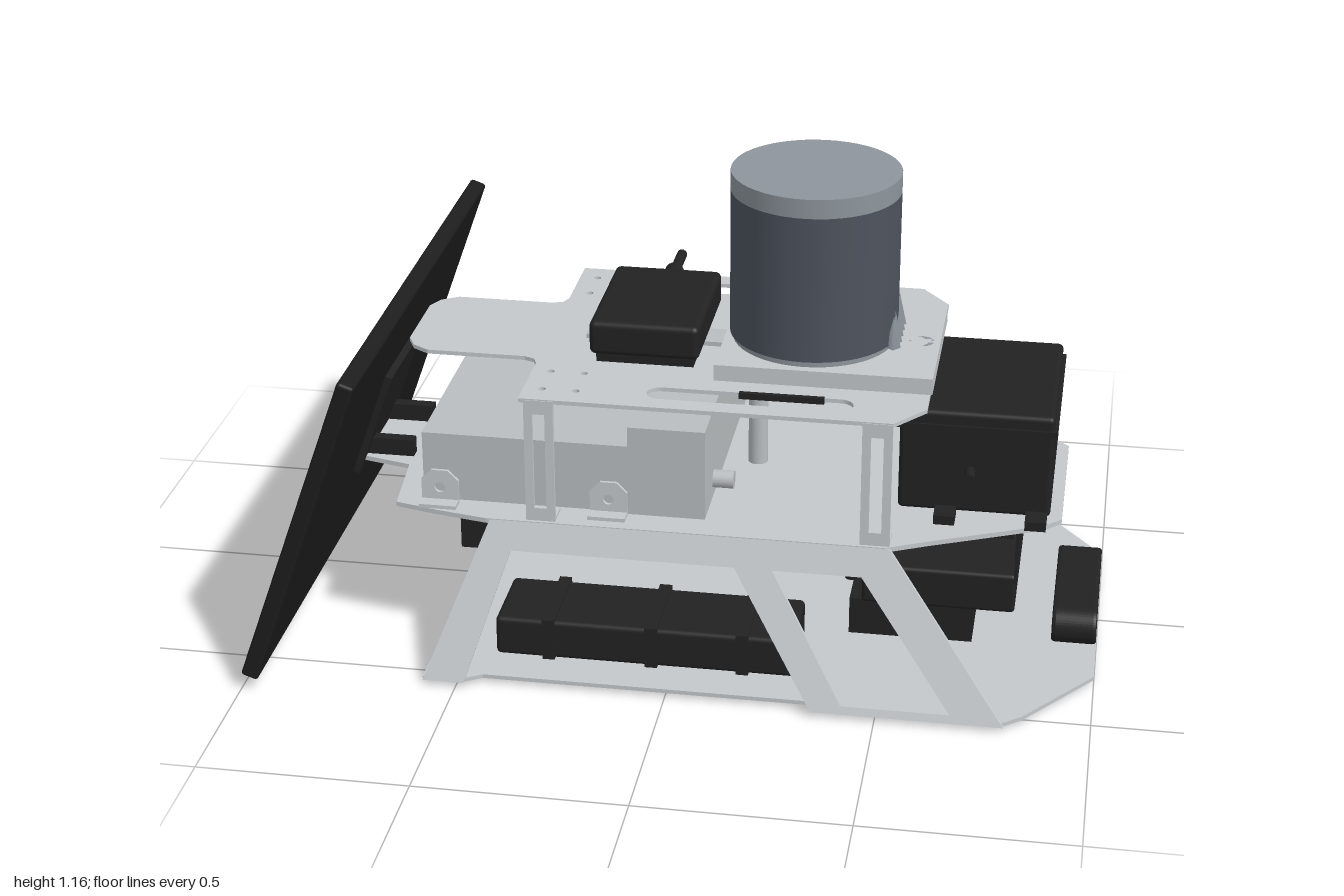
import * as THREE from 'three';
import { RoundedBoxGeometry } from 'three/addons/geometries/RoundedBoxGeometry.js';

function mat(name, color) {
  const m = new THREE.MeshStandardMaterial({ color });
  m.name = name;
  return m;
}

export function createModel() {
  const root = new THREE.Group();
  root.name = 'sensorRig';
  const metal = mat('light sheet metal', 0xc4c8cb);
  const boxGrey = mat('box grey', 0xb9bdbf);
  const black = mat('black plastic', 0x222222);
  const screenBlack = mat('screen black', 0x1d1d1d);
  const slate = mat('slate housing', 0x4d535e);
  const capGrey = mat('cap grey', 0x8d959c);

  const add = (name, geo, material, x = 0, y = 0, z = 0) => {
    const m = new THREE.Mesh(geo, material);
    m.name = name;
    m.position.set(x, y, z);
    root.add(m);
    return m;
  };
  // Box given by its limits; r rounds the edges
  const box = (name, material, x0, x1, y0, y1, z0, z1, r = 0) => add(name,
    r ? new RoundedBoxGeometry(x1 - x0, y1 - y0, z1 - z0, 3, r) : new THREE.BoxGeometry(x1 - x0, y1 - y0, z1 - z0),
    material, (x0 + x1) / 2, (y0 + y1) / 2, (z0 + z1) / 2);
  const cyl = (name, material, r, h, x, y, z, axis = 'y', seg = 20) => {
    const g = new THREE.CylinderGeometry(r, r, h, seg);
    if (axis === 'x') g.rotateZ(Math.PI / 2);
    if (axis === 'z') g.rotateX(Math.PI / 2);
    return add(name, g, material, x, y, z);
  };
  const poly = (pts) => pts.map(([x, y]) => new THREE.Vector2(x, y));
  const slot = (x0, x1, y, r) => {
    const p = new THREE.Path();
    p.absarc(x1 - r, y, r, -Math.PI / 2, Math.PI / 2);
    p.absarc(x0 + r, y, r, Math.PI / 2, Math.PI * 1.5);
    return p;
  };
  const hole = (x, y, r) => new THREE.Path().absarc(x, y, r, 0, Math.PI * 2);
  // Flat plate from a half outline (x, z), mirrored across z = 0
  const plate = (name, half, y, t, holes = []) => {
    const shape = new THREE.Shape(poly([...half, ...half.map(([x, z]) => [x, -z]).reverse()]));
    shape.holes.push(...holes);
    const g = new THREE.ExtrudeGeometry(shape, { depth: t, bevelEnabled: false, curveSegments: 10 });
    g.rotateX(-Math.PI / 2);
    return add(name, g, metal, 0, y, 0);
  };

  // Decks
  plate('basePlate', [[-0.58, 0.56], [-0.49, 0.56], [-0.44, 0.53], [0.34, 0.53], [0.38, 0.56], [0.79, 0.56], [0.84, 0.52], [1, 0.31]],
    0.01, 0.01, [-1, 1].map((s) => hole(0.74, s * 0.48, 0.014)));
  plate('middleDeck', [[-0.82, 0.13], [-0.7, 0.16], [-0.68, 0.36], [-0.58, 0.385], [-0.45, 0.41], [0.5, 0.41], [0.6, 0.36], [0.86, 0.24], [0.9, 0.2]],
    0.365, 0.012);
  const deckHoles = [];
  for (const s of [-1, 1]) {
    deckHoles.push(slot(-0.075, 0.41, s * 0.32, 0.032));
    for (const x of [-0.32, -0.24]) for (const z of [0.24, 0.34]) deckHoles.push(hole(x, s * z, 0.009));
  }
  plate('upperDeck', [[-0.7, 0.1], [-0.68, 0.14], [-0.64, 0.165], [-0.4, 0.165], [-0.375, 0.175], [-0.365, 0.2], [-0.365, 0.4], [0.51, 0.4], [0.58, 0.31]],
    0.683, 0.01, deckHoles);

  // Sloping side frames, with windows and an open bottom between the feet
  const slope = (geo, side, zBase) => {
    const p = geo.attributes.position;
    for (let i = 0; i < p.count; i++) p.setZ(i, p.getZ(i) + side * (zBase - (p.getY(i) - 0.015) * 0.425));
    geo.computeVertexNormals();
    return geo;
  };
  const sheet = (shape, t) => new THREE.ExtrudeGeometry(shape, { depth: t, bevelEnabled: false }).translate(0, 0, -t / 2);
  for (const side of [-1, 1]) {
    const frame = new THREE.Shape(poly([[-0.58, 0.012], [-0.48, 0.012], [-0.385, 0.31], [0.15, 0.31], [0.35, 0.012],
      [0.8, 0.012], [0.51, 0.375], [-0.44, 0.375]]));
    frame.holes.push(new THREE.Path(poly([[0.24, 0.31], [0.45, 0.31], [0.675, 0.03], [0.42, 0.03]])));
    add('sideFrame', slope(sheet(frame, 0.01), side, 0.558), metal);
    // Feet and top flange screws
    for (const x of [-0.53, 0.74]) cyl('footScrew', metal, 0.025, 0.01, x, 0.005, side * 0.48);
  }
  // Inset panel behind the rear window
  const inset = new THREE.Shape(poly([[-0.45, 0.1], [-0.405, 0.21], [-0.32, 0.21], [-0.29, 0.28], [-0.17, 0.28], [-0.14, 0.32],
    [0.16, 0.32], [0.3, 0.1]]));
  add('insetPanel', slope(sheet(inset, 0.008), -1, 0.546), metal);

  // Slotted brackets holding the upper deck
  for (const x of [-0.318, 0.475]) for (const s of [-1, 1]) {
    for (const dx of [-0.025, 0.025]) box('bracketPost', metal, x + dx - 0.01, x + dx + 0.01, 0.375, 0.69, s * 0.397 - 0.005, s * 0.397 + 0.005);
    for (const y of [0.375, 0.655]) box('bracketBridge', metal, x - 0.015, x + 0.015, y, y + 0.035, s * 0.397 - 0.005, s * 0.397 + 0.005);
    box('bracketFoot', metal, x - 0.035, x + 0.035, 0.375, 0.384, s * 0.37 - 0.03, s * 0.37 + 0.03);
  }
  cyl('centrePost', boxGrey, 0.024, 0.31, 0.145, 0.53, 0);

  // Tilted screen with its mount
  const screen = new THREE.Group();
  screen.name = 'screen';
  screen.position.set(-0.84, 0.425, 0);
  screen.rotation.z = -0.342;
  root.add(screen);
  screen.add(add('screenPanel', new RoundedBoxGeometry(0.042, 0.83, 1.315, 2, 0.008), screenBlack));
  screen.add(add('screenMount', new THREE.BoxGeometry(0.02, 0.28, 0.3), black, 0.028, 0.06, 0));
  for (const z of [-0.1, 0.1]) box('mountArm', black, -0.83, -0.7, 0.377, 0.42, z - 0.015, z + 0.015);

  // Scanner drum on its mounting plate
  const cx = 0.28, cz = 0.018;
  box('scannerMount', metal, 0.07, 0.585, 0.695, 0.735, -0.2, 0.235);
  cyl('scannerBase', capGrey, 0.195, 0.03, cx, 0.745, cz, 'y', 48);
  cyl('scannerBody', slate, 0.202, 0.36, cx, 0.93, cz, 'y', 48);
  cyl('scannerCap', capGrey, 0.202, 0.047, cx, 1.1335, cz, 'y', 48);
  for (let i = 0; i < 5; i++) {
    const fin = new THREE.ConeGeometry(0.018, 0.08, 4);
    add('coolingFin', fin, capGrey, cx + 0.198, 0.785, 0.09 - i * 0.036);
  }
  cyl('scannerPlug', capGrey, 0.03, 0.09, 0.54, 0.69, 0.02);

  // Receiver with ears and cable
  box('receiver', black, -0.24, 0.025, 0.715, 0.8, -0.185, 0.18, 0.015);
  box('receiverBase', black, -0.225, 0.01, 0.692, 0.72, -0.17, 0.165);
  box('receiverEars', boxGrey, -0.275, 0.06, 0.692, 0.704, -0.045, 0.035);
  cyl('cablePlug', black, 0.024, 0.1, -0.11, 0.75, -0.23, 'z');
  cyl('cable', black, 0.013, 0.13, -0.11, 0.75, -0.33, 'z');
  for (const s of [-1, 1]) box('deckStrap', black, 0.14, 0.34, 0.685, 0.7, s * 0.3 - 0.006, s * 0.3 + 0.006);

  // Grey enclosures on the middle deck
  box('longEnclosure', boxGrey, -0.62, -0.12, 0.377, 0.55, -0.325, 0.325);
  box('tallEnclosure', boxGrey, -0.12, 0.065, 0.377, 0.605, -0.335, 0.335);
  cyl('enclosurePlug', boxGrey, 0.022, 0.05, 0.09, 0.42, 0.2, 'x');
  for (const x of [-0.575, -0.165]) for (const s of [-1, 1]) {
    const tab = new THREE.Shape(poly([[-0.045, 0], [0.045, 0], [0.045, 0.06], [0.02, 0.085], [-0.02, 0.085], [-0.045, 0.06]]));
    tab.holes.push(hole(0, 0.04, 0.013));
    add('enclosureTab', sheet(tab, 0.008), metal, x, 0.377, s * 0.342);
    box('tabFoot', metal, x - 0.045, x + 0.045, 0.377, 0.386, s * 0.36 - 0.02, s * 0.36 + 0.02);
  }

  // Black power box with feet and connectors
  box('powerBox', black, 0.51, 0.872, 0.385, 0.645, -0.23, 0.215, 0.012);
  box('powerBoxRim', black, 0.5, 0.88, 0.6, 0.612, -0.235, 0.22);
  for (const x of [0.625, 0.84]) for (const s of [-1, 1]) box('powerBoxFoot', black, x - 0.025, x + 0.025, 0.377, 0.4, s * 0.24 - 0.032, s * 0.24 + 0.032);
  cyl('powerPlug', black, 0.012, 0.05, 0.68, 0.495, 0.235, 'z');
  cyl('powerSocket', black, 0.026, 0.05, 0.74, 0.52, -0.25, 'z');

  // Lower electronics
  for (const s of [-1, 1]) {
    const z0 = s > 0 ? 0.22 : -0.43;
    box('battery', black, -0.43, 0.295, 0.02, 0.12, z0, z0 + 0.21, 0.012);
    for (const x of [-0.3, -0.05, 0.17]) box('batteryClamp', black, x - 0.015, x + 0.015, 0.02, 0.126, z0 - 0.006, z0 + 0.216);
  }
  box('rearModule', black, -0.565, -0.3, 0.18, 0.285, -0.2, 0.2);
  box('computerBase', black, 0.4, 0.7, 0.025, 0.12, -0.2, 0.2);
  box('computer', black, 0.43, 0.8, 0.12, 0.222, -0.21, 0.215, 0.01);
  box('computerLid', black, 0.51, 0.79, 0.322, 0.34, -0.21, 0.215);
  box('computerFace', black, 0.795, 0.803, 0.2, 0.34, -0.21, 0.215);
  cyl('computerPlug', black, 0.018, 0.06, 0.395, 0.155, 0.1);

  // Front camera: a long rounded pod with a face ring
  const pod = new THREE.Shape();
  pod.absarc(0.152, 0, 0.046, -Math.PI / 2, Math.PI / 2);
  pod.absarc(-0.152, 0, 0.046, Math.PI / 2, Math.PI * 1.5);
  const podGeo = new THREE.ExtrudeGeometry(pod, { depth: 0.09, bevelThickness: 0.009, bevelSize: 0.006, bevelOffset: -0.006, bevelSegments: 2 });
  podGeo.rotateY(Math.PI / 2);
  add('cameraPod', podGeo, black, 0.9, 0.072, 0.003);
  box('cameraStand', black, 0.92, 0.97, 0.02, 0.04, -0.04, 0.04);
  return root;
}
